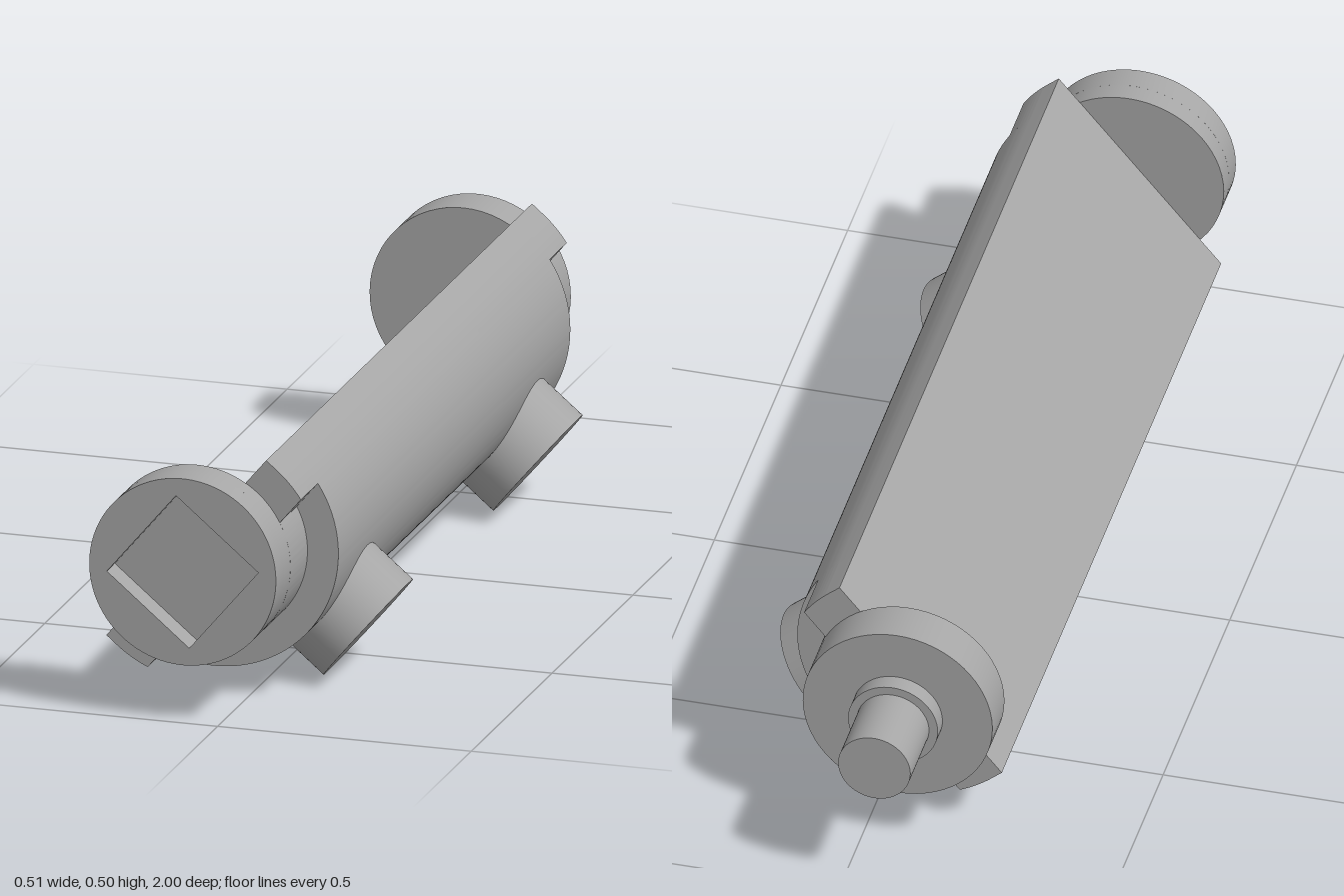
import * as THREE from 'three';
import { toCreasedNormals } from 'three/addons/utils/BufferGeometryUtils.js';

const HALF = Math.PI / 2;
const R = 0.245;      // shell radius
const CORE = 0.184;   // end cap radius
const FLAT = -0.028;  // plane of the flat back
const NOTCH = 0.07;   // depth of the corner tabs

export function createModel() {
  const model = new THREE.Group();
  const gray = new THREE.MeshStandardMaterial({ color: 0xa6a6a6 });
  gray.name = 'gray';

  // Everything is built along z with the ports on +x, then rolled into place
  const valve = new THREE.Group();
  valve.name = 'cylinderAssembly';
  valve.position.set(-0.069, 0.298, 0);
  valve.rotation.z = -40 * Math.PI / 180;
  model.add(valve);

  function add(name, geometry) {
    const mesh = new THREE.Mesh(geometry, gray);
    mesh.name = name;
    valve.add(mesh);
    return mesh;
  }
  function extrude(name, shape, z0, z1) {
    const g = new THREE.ExtrudeGeometry(shape, { depth: z1 - z0, bevelEnabled: false, curveSegments: 48 });
    add(name, toCreasedNormals(g, 0.5)).position.z = z0;
  }
  function rod(name, r, z0, z1) {
    const g = new THREE.CylinderGeometry(r, r, z1 - z0, 64).rotateX(HALF);
    add(name, g).position.z = (z0 + z1) / 2;
  }

  // Main body: half round with a flat back
  const body = new THREE.Shape();
  body.moveTo(FLAT, -R);
  body.lineTo(0, -R);
  body.absarc(0, 0, R, -HALF, HALF, false);
  body.lineTo(FLAT, R);
  body.closePath();
  extrude('body', body, -0.63, 0.805);

  // Stepped ends: two corner tabs around the narrower core
  const a = Math.acos(NOTCH / R), b = Math.acos(NOTCH / CORE);
  const end = new THREE.Shape();
  end.moveTo(FLAT, -R);
  end.lineTo(0, -R);
  end.absarc(0, 0, R, -HALF, -a, false);
  end.absarc(0, 0, CORE, -b, b, false);
  end.absarc(0, 0, R, a, HALF, false);
  end.lineTo(FLAT, R);
  end.closePath();
  extrude('frontTabs', end, 0.805, 0.91);
  extrude('backTabs', end, -0.735, -0.63);

  // Front cap with a square socket
  const rim = new THREE.Shape().absarc(0, 0, CORE, 0, Math.PI * 2, false);
  const s = 0.106;
  rim.holes.push(new THREE.Path([[-s, -s], [-s, s], [s, s], [s, -s]].map(p => new THREE.Vector2(...p))));
  extrude('frontCapSocket', rim, 0.95, 1);
  rod('frontCap', CORE, 0.91, 0.95);

  // Back cap, collar and shaft
  rod('backCap', CORE, -0.825, -0.735);
  rod('shaftCollar', 0.087, -0.86, -0.825);
  rod('shaft', 0.07, -1, -0.86);

  // Round ports
  for (const [name, z] of [['frontPort', 0.613], ['backPort', -0.437]]) {
    const g = new THREE.CylinderGeometry(0.123, 0.123, 0.217, 64).rotateZ(HALF);
    add(name, g).position.set(0.2085, 0, z);
  }
  return model;
}
